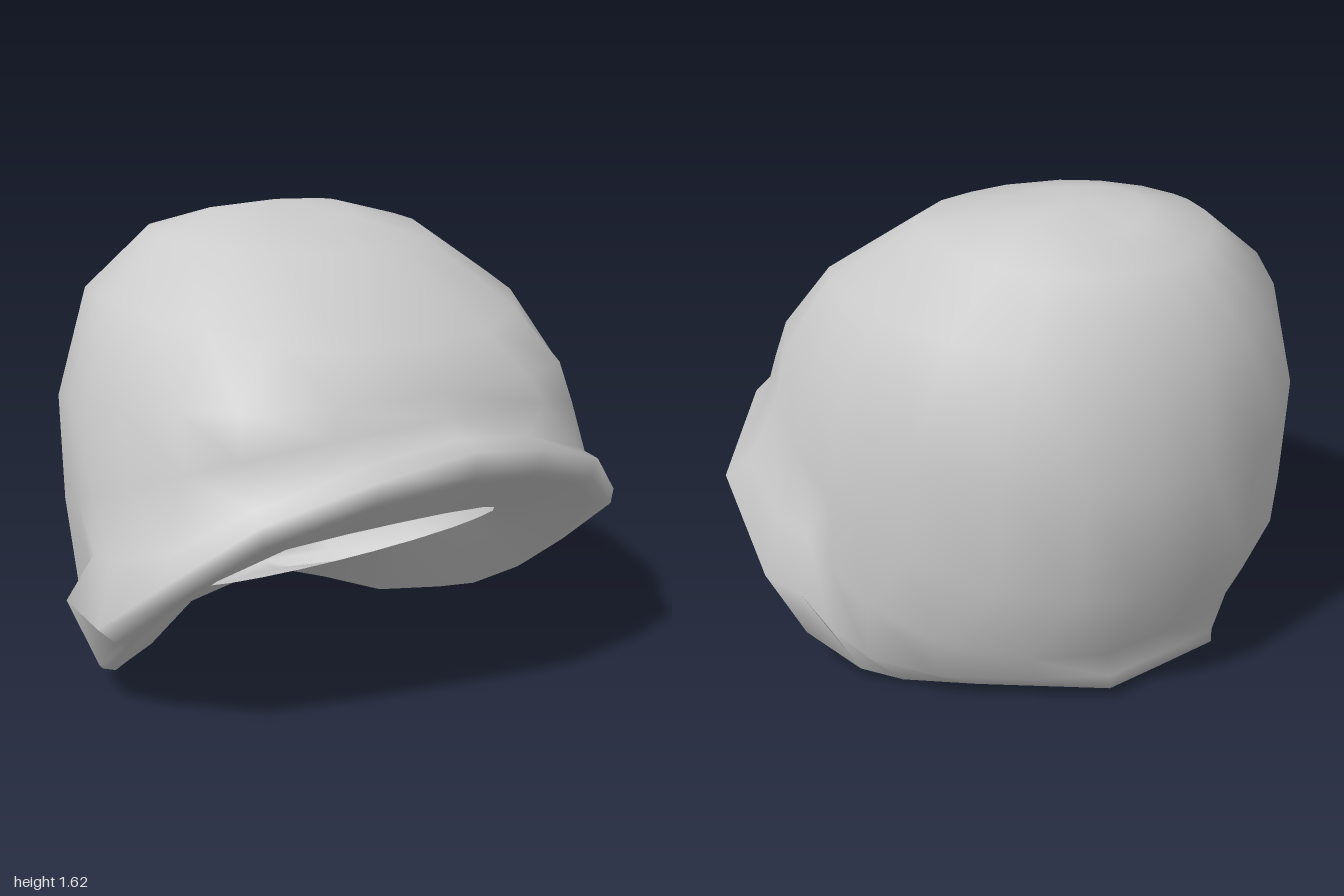
import * as THREE from 'three';

// Column angles of one half, from front (0) to back (180)
const ANGLES = [0, 14, 37, 54, 73, 88, 97, 112, 132, 150, 165, 180].map(THREE.MathUtils.degToRad);

// Half ring through a front, side and back point; power < 1 squares off the front
function ovalRing(frontZ, frontY, sideX, sideY, sideZ, backZ, backY, power) {
  return ANGLES.map((a) => {
    const c = Math.cos(a), s = Math.max(0, Math.sin(a));
    const y = sideY + (frontY - backY) / 2 * c + ((frontY + backY) / 2 - sideY) * c * c;
    const z = sideZ + (c > 0 ? (frontZ - sideZ) * c : (sideZ - backZ) * c);
    const x = s < 1e-6 ? 0 : sideX * Math.pow(s, c > 0 ? power : 1);
    return [x, y, z];
  });
}

// Mirrors a half ring into a closed loop
function closeRing(half) {
  const other = half.slice(1, -1).reverse().map(([x, y, z]) => [-x, y, z]);
  return [...half, ...other];
}

// Skins a crown point and a stack of half rings, top to bottom
function skin(crown, halves) {
  const rings = halves.map(closeRing);
  const n = rings[0].length;
  const index = [];
  for (let j = 0; j < n; j++) {
    const k = (j + 1) % n;
    index.push(0, 1 + j, 1 + k);
    for (let r = 0; r < rings.length - 1; r++) {
      const a = 1 + r * n, b = a + n;
      index.push(a + j, b + j, b + k, a + j, b + k, a + k);
    }
  }
  const geo = new THREE.BufferGeometry();
  geo.setAttribute('position', new THREE.Float32BufferAttribute([crown, ...rings.flat()].flat(), 3));
  geo.setIndex(index);
  geo.computeVertexNormals();
  return geo;
}

export function createModel() {
  // Rounded dome
  const dome = [
    ovalRing(0.05, 1.57, 0.25, 1.6, -0.24, -0.48, 1.57, 0.9),
    ovalRing(0.33, 1.51, 0.49, 1.535, -0.22, -0.69, 1.51, 0.85),
    ovalRing(0.67, 1.26, 0.73, 1.35, -0.17, -0.89, 1.27, 0.72),
    ovalRing(0.745, 1.11, 0.87, 1.02, -0.1, -0.94, 0.87, 0.57),
    ovalRing(0.79, 1.03, 0.88, 0.7, -0.05, -0.91, 0.47, 0.52),
  ];
  // Top of the flared brim, running into the nape at the back
  const flare = [
    [0, 0.98, 0.85], [0.33, 0.93, 0.8], [0.66, 0.81, 0.67], [0.88, 0.65, 0.5],
    [0.94, 0.56, 0.22], [0.92, 0.54, 0.06], [0.89, 0.44, -0.02], [0.86, 0.36, -0.2],
    [0.74, 0.28, -0.42], [0.5, 0.21, -0.62], [0.25, 0.19, -0.73], [0, 0.19, -0.74],
  ];
  // Outermost brim edge, ending in a step at each side
  const brim = [
    [0, 0.96, 0.94], [0.33, 0.9, 0.88], [0.69, 0.78, 0.75], [0.94, 0.58, 0.57],
    [1, 0.34, 0.23], [1, 0.37, 0], [0.89, 0.19, 0], [0.84, 0.13, -0.16],
    [0.7, 0.1, -0.36], [0.46, 0.1, -0.58], [0.24, 0.1, -0.73], [0, 0.1, -0.735],
  ];
  // Lower edge the model rests on
  const lip = [
    [0, 0.87, 0.93], [0.33, 0.82, 0.86], [0.67, 0.71, 0.74], [0.9, 0.54, 0.6],
    [0.96, 0.3, 0.28], [0.93, 0.15, 0.09], [0.83, 0.05, -0.09], [0.73, 0.02, -0.2],
    [0.53, 0, -0.36], [0.38, 0.03, -0.56], [0.24, 0.05, -0.73], [0, 0.04, -0.72],
  ];
  // Edge of the opening in the underside
  const opening = ovalRing(0.53, 0.61, 0.62, 0.43, 0.2, -0.1, 0.25, 0.8);
  // Turned-in edge, level behind and sloping at the front
  const turnIn = lip.map((p, i) => {
    const [x, y, z] = p.map((v, k) => THREE.MathUtils.lerp(v, opening[i][k], 0.15));
    return [x, Math.min(y, p[1]), z];
  });

  const shell = new THREE.Mesh(
    skin([0, 1.62, -0.25], [...dome, flare, brim, lip, turnIn, opening]),
    new THREE.MeshStandardMaterial({ color: 0xcccccc, side: THREE.DoubleSide }),
  );
  shell.name = 'helmetShell';

  const group = new THREE.Group();
  group.name = 'helmet';
  group.add(shell);
  return group;
}
